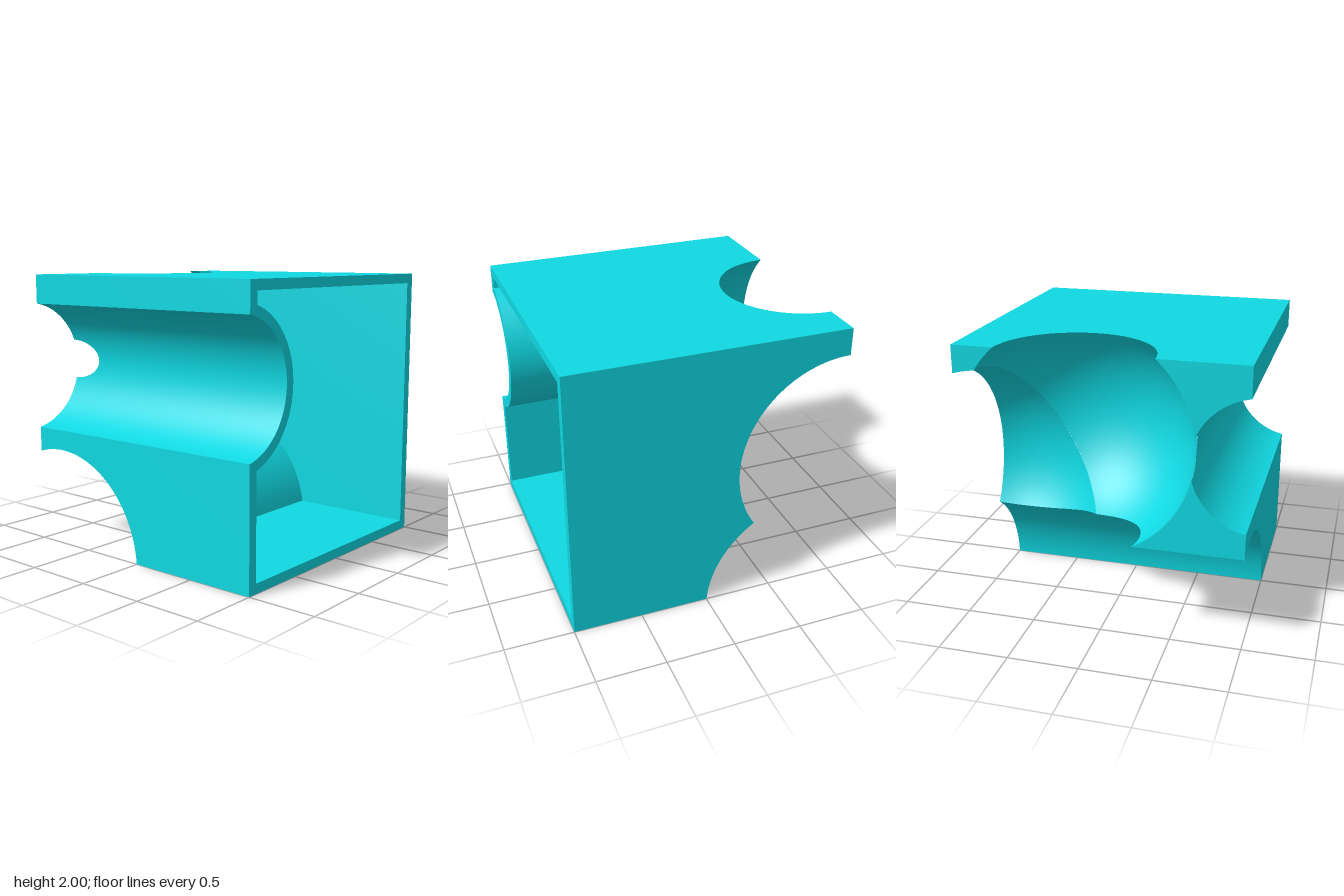
import * as THREE from 'three';

const WALL = 0.07;
const GROOVE = { y: 1.325, z: 1.085, r: 0.47 };

// The round bodies carved out of the block: distance to each, and its surface
const cutters = [
  {
    name: 'frontGroove',
    dist: (p, o) => Math.hypot(p.y - GROOVE.y, p.z - GROOVE.z) - GROOVE.r - o,
    make: (o) => new THREE.CylinderGeometry(GROOVE.r + o, GROOVE.r + o, 2.4, 128, 48, true)
      .rotateZ(Math.PI / 2).translate(0, GROOVE.y, GROOVE.z),
  },
  {
    name: 'bottomArch',
    dist: (p, o) => Math.hypot(p.x + 0.77, p.y + 0.055) - 0.77 - o,
    make: (o) => new THREE.CylinderGeometry(0.77 + o, 0.77 + o, 2.4, 128, 48, true)
      .rotateX(Math.PI / 2).translate(-0.77, -0.055, 0),
  },
  sphereCutter('upperSphere', -1, 1.395, -0.16, 0.814),
  sphereCutter('rearSphere', -1, 1.024, -0.766, 0.814),
];

function sphereCutter(name, x, y, z, r) {
  return {
    name,
    dist: (p, o) => Math.hypot(p.x - x, p.y - y, p.z - z) - r - o,
    make: (o) => new THREE.SphereGeometry(r + o, 112, 72).translate(x, y, z),
  };
}

// Point on the segment a-b where f crosses zero, with blended normal
function crossing(a, b, f) {
  const at = (t) => a.p.clone().lerp(b.p, t);
  let lo = 0, hi = 1;
  const positive = f(a.p) >= 0;
  for (let i = 0; i < 14; i++) {
    const mid = (lo + hi) / 2;
    if ((f(at(mid)) >= 0) === positive) lo = mid; else hi = mid;
  }
  return { p: at(lo), n: a.n.clone().lerp(b.n, lo).normalize() };
}

// Keep only the part of a surface where every function is positive
function trim(geometry, keeps, flip) {
  const g = geometry.toNonIndexed();
  const { position, normal } = g.attributes;
  const pos = [], nor = [];
  for (let i = 0; i < position.count; i += 3) {
    let poly = [0, 1, 2].map((k) => ({
      p: new THREE.Vector3().fromBufferAttribute(position, i + k),
      n: new THREE.Vector3().fromBufferAttribute(normal, i + k),
    }));
    for (const f of keeps) {
      const next = [];
      poly.forEach((a, k) => {
        const b = poly[(k + 1) % poly.length];
        const inA = f(a.p) >= 0, inB = f(b.p) >= 0;
        if (inA) next.push(a);
        if (inA !== inB) next.push(crossing(a, b, f));
      });
      poly = next;
      if (poly.length < 3) break;
    }
    if (flip) poly.reverse();
    for (let k = 1; k < poly.length - 1; k++) {
      for (const v of [poly[0], poly[k], poly[k + 1]]) {
        pos.push(v.p.x, v.p.y, v.p.z);
        if (flip) nor.push(-v.n.x, -v.n.y, -v.n.z);
        else nor.push(v.n.x, v.n.y, v.n.z);
      }
    }
  }
  const out = new THREE.BufferGeometry();
  out.setAttribute('position', new THREE.Float32BufferAttribute(pos, 3));
  out.setAttribute('normal', new THREE.Float32BufferAttribute(nor, 3));
  return out;
}

// Square outline with the groove bitten out of its front edge
function rimOutline(path, inset) {
  const e = 1 - inset, r = GROOVE.r + inset;
  const a = Math.acos((GROOVE.z - e) / r);
  path.moveTo(-e, inset);
  path.lineTo(e, inset);
  path.lineTo(e, 2 - inset);
  path.lineTo(-e, 2 - inset);
  path.absarc(-GROOVE.z, GROOVE.y, r, a, -a, true);
  path.closePath();
  return path;
}

export function createModel() {
  const group = new THREE.Group();
  const material = new THREE.MeshStandardMaterial({ color: 0x10d8e2 });
  const add = (name, geometry) => {
    const mesh = new THREE.Mesh(geometry, material);
    mesh.name = name;
    group.add(mesh);
  };

  // Outer skin (no offset) and the hollow inside it (offset by the wall)
  for (const inset of [0, WALL]) {
    const hollow = inset > 0;
    const label = hollow ? 'Inside' : 'Outside';
    const e = 1 - inset;
    const outsideOf = (skip) => cutters.filter((c) => c !== skip).map((c) => (p) => c.dist(p, inset));
    const openEnd = (p) => 1 - p.x;

    // Flat walls, running out to the open end
    const box = new THREE.BoxGeometry(1.2 + e, 2 * e, 2 * e, 44, 40, 40)
      .translate((1.2 - e) / 2, 1, 0);
    add('walls' + label, trim(box, [openEnd, ...outsideOf(null)], hollow));

    // Curved walls
    const withinBox = [
      openEnd,
      (p) => p.x + e,
      (p) => e - Math.abs(p.y - 1),
      (p) => e - Math.abs(p.z),
    ];
    for (const c of cutters) {
      add(c.name + label, trim(c.make(inset), [...withinBox, ...outsideOf(c)], !hollow));
    }
  }

  // Rim around the open end
  const rim = rimOutline(new THREE.Shape(), 0);
  rim.holes.push(rimOutline(new THREE.Path(), WALL));
  add('openRim', new THREE.ShapeGeometry(rim, 64).rotateY(Math.PI / 2).translate(1, 0, 0));

  return group;
}
